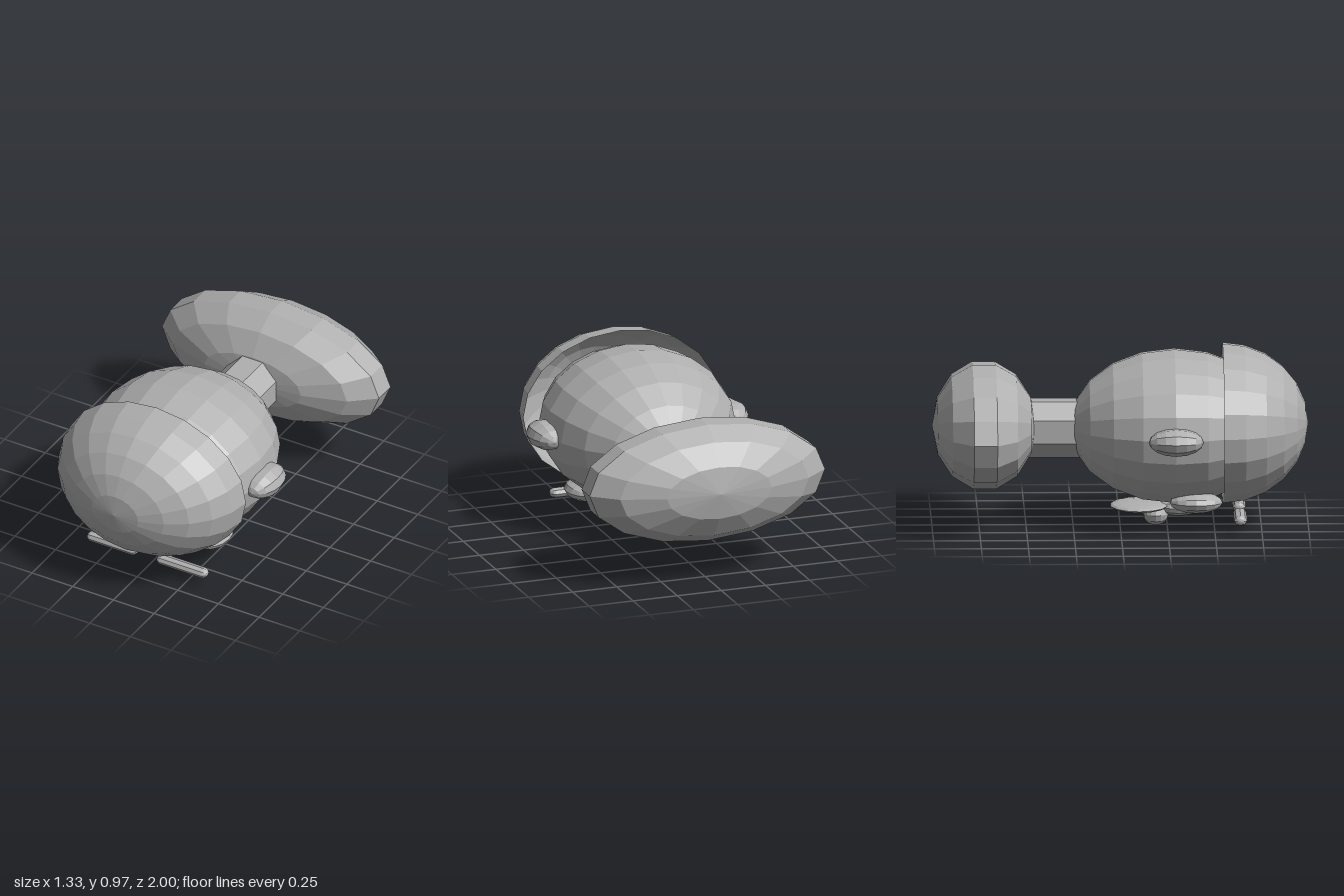
import * as THREE from 'three';

export function createModel() {
  const group = new THREE.Group();
  const grey = new THREE.MeshStandardMaterial({ color: 0xb0b0b0, flatShading: true });
  grey.name = 'grey';
  const greyShell = new THREE.MeshStandardMaterial({ color: 0xb0b0b0, flatShading: true, side: THREE.DoubleSide });
  greyShell.name = 'grey';

  function add(name, geometry, position, material = grey) {
    const mesh = new THREE.Mesh(geometry, material);
    mesh.name = name;
    mesh.position.set(...position);
    group.add(mesh);
    return mesh;
  }

  // Faceted ellipsoid whose poles point along z
  function ellipsoid(radii, segments, rings, sweep = Math.PI) {
    return new THREE.SphereGeometry(1, segments, rings, 0, Math.PI * 2, 0, sweep)
      .rotateX(Math.PI / 2)
      .scale(...radii);
  }

  // Head, open hair cap, neck and wide body, lying along z with the face down
  add('head', ellipsoid([0.52, 0.41, 0.56], 20, 10), [0, 0.54, 0.29]);
  add('hairCap', ellipsoid([0.55, 0.425, 0.455], 20, 6, Math.PI / 2), [0, 0.555, 0.545], greyShell);
  add('body', ellipsoid([0.684, 0.333, 0.277], 16, 7), [0, 0.545, -0.723]);
  const neck = new THREE.CylinderGeometry(0.162, 0.162, 0.32, 8)
    .rotateY(Math.PI / 8)
    .rotateX(Math.PI / 2);
  add('neck', neck, [0, 0.53, -0.34]);

  // Paired features of the head
  for (const [side, s] of [['left', 1], ['right', -1]]) {
    add(side + 'Ear', ellipsoid([0.1, 0.075, 0.145], 10, 8), [s * 0.518, 0.537, 0.29]);
    add(side + 'Eye', ellipsoid([0.115, 0.057, 0.14], 12, 8), [s * 0.25, 0.168, 0.4]);
    add(side + 'Pupil', ellipsoid([0.02, 0.015, 0.02], 8, 6), [s * 0.25, 0.121, 0.4]);
    const brow = new THREE.CapsuleGeometry(0.027, 0.254, 3, 8)
      .rotateZ(Math.PI / 2)
      .scale(1, 1, 1.3);
    add(side + 'Brow', brow, [s * 0.214, 0.084, 0.635]);
  }

  // Muzzle on the underside
  add('noseBridge', ellipsoid([0.055, 0.045, 0.12], 10, 8), [0, 0.1, 0.31]);
  add('noseTip', ellipsoid([0.07, 0.06, 0.067], 10, 8), [0, 0.065, 0.19]);
  const mouth = new THREE.SphereGeometry(1, 14, 8).scale(0.22, 0.025, 0.155);
  add('mouth', mouth, [0, 0.113, 0.1]);

  return group;
}
